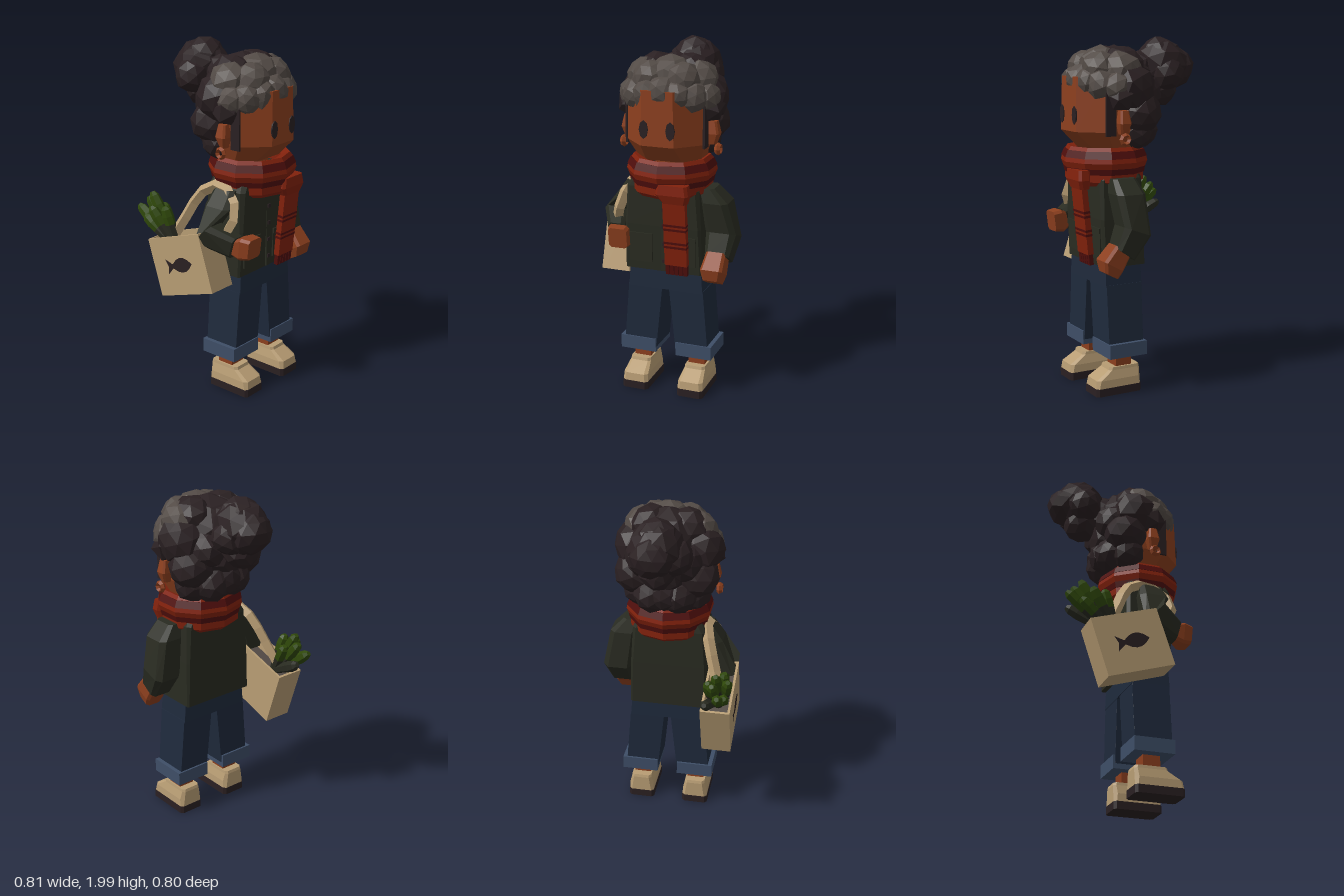
import * as THREE from 'three';

const mat = (name, color) => {
  const m = new THREE.MeshStandardMaterial({ color });
  m.name = name;
  return m;
};

// Splits shared corners so every facet is flat
function facet(geo) {
  const g = geo.index ? geo.toNonIndexed() : geo;
  g.computeVertexNormals();
  return g;
}

// Slightly uneven faceted lump of hair
function lump(r, seed) {
  const g = new THREE.IcosahedronGeometry(r, r < 0.09 ? 0 : 1);
  const p = g.attributes.position, v = new THREE.Vector3();
  for (let i = 0; i < p.count; i++) {
    v.fromBufferAttribute(p, i);
    const k = 1.02 + 0.05 * Math.sin((v.x * 5 + v.y * 7 + v.z * 4) / r + seed);
    p.setXYZ(i, v.x * k, v.y * k, v.z * k);
  }
  return facet(g);
}

// Rectangle with cut corners, optionally tipped about the x axis
function ring(cx, y, cz, hx, hz, cut = 0, tip = 0) {
  const c = Math.max(cut, 0.0005);
  const pts = [[hx, hz - c], [hx, c - hz], [hx - c, -hz], [c - hx, -hz],
    [-hx, c - hz], [-hx, hz - c], [c - hx, hz], [hx - c, hz]];
  return pts.map(([x, z]) => new THREE.Vector3(cx + x, y - z * Math.sin(tip), cz + z * Math.cos(tip)));
}

// Skin over a stack of rings, closed at both ends
function loft(rings) {
  const pos = [], n = rings[0].length;
  const tri = (...p) => p.forEach(v => pos.push(v.x, v.y, v.z));
  for (let r = 0; r < rings.length - 1; r++) {
    for (let i = 0; i < n; i++) {
      const j = (i + 1) % n, a = rings[r], b = rings[r + 1];
      tri(a[i], a[j], b[j]);
      tri(a[i], b[j], b[i]);
    }
  }
  const lo = rings[0], hi = rings[rings.length - 1];
  for (let i = 1; i < n - 1; i++) {
    tri(lo[0], lo[i + 1], lo[i]);
    tri(hi[0], hi[i], hi[i + 1]);
  }
  const g = new THREE.BufferGeometry();
  g.setAttribute('position', new THREE.Float32BufferAttribute(pos, 3));
  g.computeVertexNormals();
  return g;
}

export function createModel() {
  const skin = mat('skin', 0x8c3f1e), hair = mat('dark hair', 0x2a2022), grey = mat('grey hair', 0x524a45);
  const coat = mat('olive coat', 0x292b21), denim = mat('denim', 0x1f2a3c), cuffBlue = mat('light denim', 0x3e4e67);
  const red = mat('scarf red', 0x82210c), darkRed = mat('dark red', 0x4e0e0c);
  const canvas = mat('canvas', 0xb89d74), green = mat('leaf green', 0x2f480a);

  const model = new THREE.Group();
  const group = (name, parent = model, x = 0, y = 0, z = 0) => {
    const g = new THREE.Group();
    g.name = name;
    g.position.set(x, y, z);
    parent.add(g);
    return g;
  };
  const add = (parent, name, geo, material, x = 0, y = 0, z = 0) => {
    const m = new THREE.Mesh(geo, material);
    m.name = name;
    m.position.set(x, y, z);
    parent.add(m);
    return m;
  };
  const box = (parent, name, m, w, h, d, x, y, z) => add(parent, name, new THREE.BoxGeometry(w, h, d), m, x, y, z);

  // Trousers, cuffs, ankles and shoes
  const body = group('body', model, 0.015);
  add(body, 'hips', loft([ring(0, 0.62, 0.15, 0.222, 0.113), ring(0, 0.75, 0.15, 0.212, 0.11)]), denim);
  for (const s of [-1, 1]) {
    const side = s > 0 ? 'left' : 'right';
    add(body, side + 'Leg', loft([ring(s * 0.157, 0.25, 0.15, 0.098, 0.108),
      ring(s * 0.122, 0.63, 0.15, 0.102, 0.11)]), denim);
    box(body, side + 'Cuff', cuffBlue, 0.215, 0.08, 0.235, s * 0.168, 0.26, 0.148);
    box(body, side + 'Ankle', skin, 0.1, 0.12, 0.1, s * 0.167, 0.19, 0.15);
    const sx = s * 0.168;
    add(body, side + 'Shoe', loft([ring(sx, 0.045, 0.19, 0.076, 0.14, 0.015), ring(sx, 0.09, 0.187, 0.074, 0.137, 0.02),
      ring(sx, 0.14, 0.147, 0.062, 0.097, 0.015), ring(sx, 0.157, 0.147, 0.06, 0.092, 0.015)]), canvas);
    add(body, side + 'Sole', loft([ring(sx, 0, 0.19, 0.078, 0.142, 0.015), ring(sx, 0.045, 0.19, 0.078, 0.142, 0.015)]), hair);
  }

  // Coat with placket, buttons and pockets
  const jacket = group('jacket', model, 0.004);
  add(jacket, 'coat', loft([ring(0, 0.73, 0.138, 0.228, 0.128, 0.01), ring(0, 1.0, 0.147, 0.224, 0.135, 0.015),
    ring(0, 1.22, 0.15, 0.212, 0.132, 0.02), ring(0, 1.32, 0.155, 0.16, 0.115, 0.03)]), coat);
  box(jacket, 'placket', coat, 0.03, 0.45, 0.009, 0.012, 0.965, 0.279);
  for (let i = 0; i < 4; i++) box(jacket, 'button', hair, 0.02, 0.02, 0.008, 0.012, 0.8 + i * 0.1, 0.287);
  for (const s of [-1, 1]) {
    box(jacket, 'pocket', coat, 0.135, 0.17, 0.012, s * 0.128, 0.865, 0.275);
    box(jacket, 'pocketFlap', coat, 0.14, 0.03, 0.012, s * 0.128, 0.935, 0.281);
  }

  // Left arm hangs, right arm bends forward
  add(model, 'leftSleeve', loft([ring(0.312, 0.825, 0.205, 0.07, 0.065, 0.02, -0.6), ring(0.32, 0.95, 0.14, 0.087, 0.088, 0.03, -0.35),
    ring(0.283, 1.15, 0.158, 0.08, 0.088, 0.03), ring(0.235, 1.23, 0.165, 0.05, 0.07, 0.02)]), coat);
  add(model, 'leftHand', loft([ring(0.305, 0.71, 0.283, 0.05, 0.045, 0.015, -0.5), ring(0.305, 0.765, 0.276, 0.064, 0.065, 0.015, -0.5),
    ring(0.31, 0.85, 0.215, 0.056, 0.055, 0.015, -0.6)]), skin);
  add(model, 'rightSleeve', loft([ring(-0.268, 0.935, 0.285, 0.05, 0.062, 0.02, -1.3), ring(-0.32, 0.995, 0.125, 0.073, 0.085, 0.03, -0.8),
    ring(-0.245, 1.14, 0.155, 0.055, 0.088, 0.03), ring(-0.2, 1.23, 0.16, 0.035, 0.07, 0.02)]), coat);
  add(model, 'rightHand', loft([ring(-0.225, 0.935, 0.378, 0.055, 0.058, 0.015, -1.45), ring(-0.235, 0.935, 0.325, 0.062, 0.065, 0.015, -1.45),
    ring(-0.255, 0.935, 0.28, 0.045, 0.05, 0.015, -1.4)]), skin);

  // Head, eyes, ears and ring earrings
  const head = group('head', model, 0.014);
  add(head, 'neck', new THREE.CylinderGeometry(0.1, 0.1, 0.2, 8), skin, 0, 1.32, 0.15);
  add(head, 'face', loft([ring(0, 1.375, 0.14, 0.185, 0.13, 0.08), ring(0, 1.48, 0.16, 0.225, 0.218, 0.13),
    ring(0, 1.78, 0.16, 0.218, 0.212, 0.13)]), skin);
  for (const s of [-1, 1]) {
    const eye = add(head, 'eye', new THREE.CylinderGeometry(0.026, 0.026, 0.008, 8), hair, s * 0.076, 1.57, 0.377);
    eye.rotation.x = Math.PI / 2;
    eye.scale.z = 1.95;
    add(head, 'ear', loft([ring(s * 0.24, 1.47, 0.165, 0.025, 0.02, 0.01), ring(s * 0.25, 1.53, 0.165, 0.035, 0.035, 0.01),
      ring(s * 0.245, 1.6, 0.165, 0.025, 0.025, 0.01)]), skin);
    const earring = add(head, 'earring', facet(new THREE.TorusGeometry(0.025, 0.012, 4, 8)), skin, s * 0.277, 1.445, 0.17);
    earring.rotation.y = Math.PI / 2;
    earring.scale.z = 1.4;
    box(head, 'sideburn', hair, 0.012, 0.24, 0.06, s * 0.224, 1.58, 0.23);
  }

  // Hair made of faceted curls: x, y, z, radius
  const curls = (name, list, m) => {
    const g = group(name, head);
    list.forEach(([x, y, z, r], i) => {
      add(g, 'curl', lump(r, i), m, x, y, z).rotation.set(i * 1.3, i * 2.1, i * 0.7);
    });
  };
  const pair = (x, y, z, r) => [[x, y, z, r], [-x, y, z, r]];
  curls('hairBack', [[0, 1.74, 0.09, 0.2], ...pair(0.17, 1.72, 0.09, 0.14), ...pair(0.165, 1.58, 0.03, 0.127),
    [0, 1.62, 0, 0.14], ...pair(0.07, 1.48, -0.02, 0.11), ...pair(0.1, 1.82, 0.1, 0.126), ...pair(0.15, 1.47, 0.05, 0.1),
    [0, 1.5, -0.03, 0.11], ...pair(0.225, 1.67, 0.17, 0.085), ...pair(0.1, 1.68, -0.02, 0.115), [0, 1.75, -0.03, 0.12]], hair);
  curls('bun', [[0.012, 1.83, -0.21, 0.15], [0.012, 1.87, -0.2, 0.122], ...pair(0.085, 1.79, -0.2, 0.1),
    [0.02, 1.82, -0.283, 0.115], [0.01, 1.7, -0.2, 0.1], [0, 1.82, -0.06, 0.09]], hair);
  curls('hairTop', [[0.01, 1.815, 0.18, 0.13], ...pair(0.15, 1.805, 0.13, 0.115), ...pair(0.09, 1.82, 0.23, 0.1)], grey);
  const fringe = [];
  for (let i = -3; i <= 3; i++) {
    const a = i * 0.38, drop = Math.abs(i);
    fringe.push([Math.sin(a) * 0.22, 1.76 - drop * 0.012, 0.1 + Math.cos(a) * 0.195, 0.09]);
  }
  curls('fringe', fringe, grey);

  // Scarf wraps, knot and hanging tail
  const scarf = group('scarf', model, 0.02, 0, 0.16);
  const wrap = (name, pts, m) => {
    const closed = [...pts, pts[0]].map(p => new THREE.Vector2(...p));
    add(scarf, name, facet(new THREE.LatheGeometry(closed, 10)), m).scale.z = 0.96;
  };
  wrap('upperWrap', [[0.16, 1.28], [0.24, 1.275], [0.254, 1.31], [0.246, 1.345], [0.215, 1.395], [0.165, 1.38]], red);
  wrap('lowerWrap', [[0.15, 1.21], [0.2, 1.18], [0.23, 1.205], [0.23, 1.25], [0.15, 1.26]], red);
  wrap('foldBand', [[0.15, 1.245], [0.234, 1.245], [0.242, 1.278], [0.15, 1.285]], darkRed);
  wrap('topBand', [[0.246, 1.335], [0.252, 1.335], [0.234, 1.375], [0.225, 1.373]], darkRed);
  add(model, 'knot', loft([ring(0.11, 1.17, 0.355, 0.07, 0.03, 0.015), ring(0.1, 1.22, 0.365, 0.095, 0.035, 0.015),
    ring(0.1, 1.275, 0.36, 0.085, 0.035, 0.015)]), red);
  const tail = group('scarfTail', model, 0.107, 1.2, 0.362);
  tail.rotation.x = 0.1;
  box(tail, 'tail', red, 0.13, 0.4, 0.035, 0, -0.2, 0);
  [-0.16, -0.185, -0.265, -0.29].forEach(y => box(tail, 'tailStripe', darkRed, 0.133, 0.013, 0.039, 0, y, 0));
  for (let i = -2; i <= 2; i++) box(tail, 'tassel', darkRed, 0.022, 0.07, 0.025, i * 0.026, -0.425, 0);

  // Open tote bag, tilted back
  const bag = group('bag', model, -0.31, 0.62, 0.03);
  bag.rotation.x = -0.31;
  for (const s of [-1, 1]) {
    box(bag, 'bagSide', canvas, 0.014, 0.34, 0.4, s * 0.078, 0.17, 0);
    box(bag, 'bagEnd', canvas, 0.142, 0.34, 0.014, 0, 0.17, s * 0.193);
  }
  box(bag, 'bagBase', canvas, 0.142, 0.014, 0.386, 0, 0.007, 0);
  box(bag, 'lining', grey, 0.142, 0.01, 0.386, 0, 0.25, 0);
  const fish = new THREE.Shape();
  fish.moveTo(0.1, 0.005);
  fish.quadraticCurveTo(0.03, 0.085, -0.05, 0.012);
  fish.lineTo(-0.1, 0.045);
  fish.lineTo(-0.085, 0);
  fish.lineTo(-0.1, -0.045);
  fish.lineTo(-0.05, -0.012);
  fish.quadraticCurveTo(0.03, -0.075, 0.1, 0.005);
  add(bag, 'fishPatch', new THREE.ShapeGeometry(fish, 5), hair, -0.088, 0.17, 0).rotation.y = -Math.PI / 2;

  // Carrying strap over the shoulder
  const strapPath = new THREE.CatmullRomCurve3([[-0.33, 0.88, -0.15], [-0.28, 1.04, -0.07], [-0.23, 1.19, 0.01], [-0.205, 1.24, 0.13],
    [-0.235, 1.16, 0.245], [-0.275, 1.04, 0.25], [-0.31, 0.94, 0.16]].map(p => new THREE.Vector3(...p)));
  add(model, 'strap', facet(new THREE.TubeGeometry(strapPath, 10, 0.033, 4)), canvas);

  // Vegetables poking out of the bag: dark stalks with green ends
  const leaves = group('leaves');
  const stalkShape = [[0, 0], [0.02, 0], [0.031, 0.55]];
  const leafShape = [[0.031, 0.55], [0.034, 0.75], [0.029, 0.92], [0.014, 1], [0, 1]];
  [[-0.335, 1.05, -0.385], [-0.265, 0.99, -0.365], [-0.378, 1.08, -0.25], [-0.265, 1.07, -0.26],
    [-0.315, 1.14, -0.3], [-0.35, 1.09, -0.17], [-0.3, 1.1, -0.34], [-0.365, 1.01, -0.31]].forEach(([x, y, z], i) => {
    const tip = new THREE.Vector3(x, y, z);
    const base = new THREE.Vector3(-0.31 + (x + 0.31) * 0.4, 0.86, -0.12 + (i % 3 - 1) * 0.02);
    const dir = tip.clone().sub(base), len = dir.length();
    const stem = group('vegetable', leaves, base.x, base.y, base.z);
    stem.quaternion.setFromUnitVectors(new THREE.Vector3(0, 1, 0), dir.normalize());
    const turned = shape => facet(new THREE.LatheGeometry(shape.map(([r, h]) => new THREE.Vector2(r, h * len)), 6));
    add(stem, 'stalk', turned(stalkShape), coat);
    add(stem, 'leaf', turned(leafShape), i === 1 ? coat : green);
  });
  return model;
}
